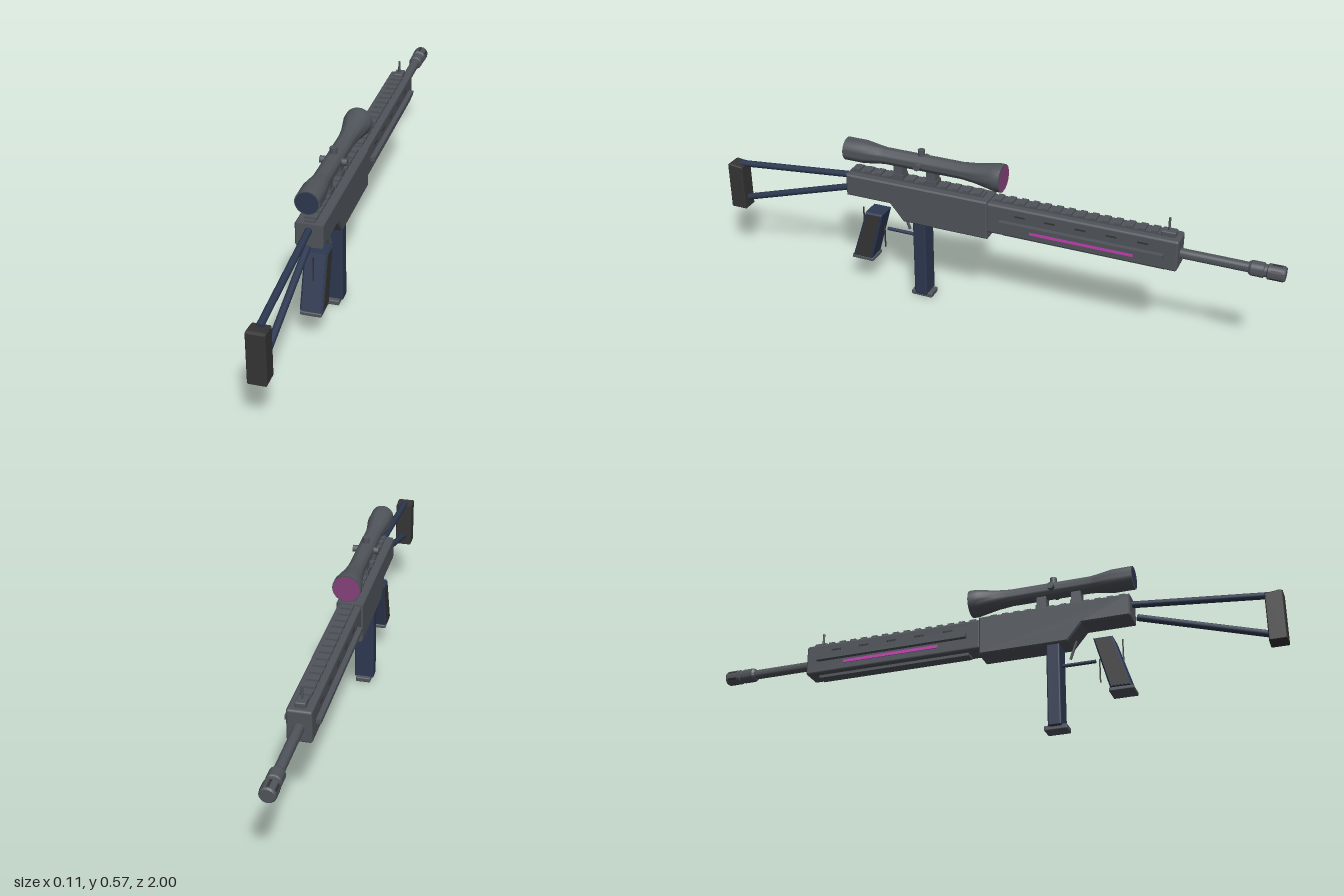
import * as THREE from 'three';
import { RoundedBoxGeometry } from 'three/addons/geometries/RoundedBoxGeometry.js';
import { toCreasedNormals } from 'three/addons/utils/BufferGeometryUtils.js';

const mat = (name, color) => new THREE.MeshStandardMaterial({ name, color });

export function createModel() {
  const gray = mat('gunmetal', 0x50555b);
  const navy = mat('navy', 0x2d3850);
  const dark = mat('dark rubber', 0x353535);
  const pink = mat('magenta stripe', 0xc23fb0);
  const purple = mat('purple glass', 0x84427a);
  const model = new THREE.Group();

  const add = (name, geometry, material, x = 0, y = 0, z = 0) => {
    const mesh = new THREE.Mesh(geometry, material);
    mesh.name = name;
    mesh.position.set(x, y, z);
    model.add(mesh);
    return mesh;
  };
  // Box given by its y and z limits, centred on x unless shifted
  const box = (name, material, w, y0, y1, z0, z1, x = 0) =>
    add(name, new THREE.BoxGeometry(w, y1 - y0, z1 - z0), material, x, (y0 + y1) / 2, (z0 + z1) / 2);
  const rbox = (name, material, w, y0, y1, z0, z1, r) =>
    add(name, new RoundedBoxGeometry(w, y1 - y0, z1 - z0, 2, r), material, 0, (y0 + y1) / 2, (z0 + z1) / 2);
  // Side profile of [z, y] points, extruded across x
  const slab = (name, material, points, w, bevel = 0, x = 0) => {
    const shape = new THREE.Shape(points.map(([z, y]) => new THREE.Vector2(z, y)));
    const g = new THREE.ExtrudeGeometry(shape, {
      depth: w - 2 * bevel, bevelEnabled: bevel > 0, bevelSize: bevel,
      bevelOffset: -bevel, bevelThickness: bevel, bevelSegments: 1,
    });
    g.translate(0, 0, -(w - 2 * bevel) / 2).rotateY(-Math.PI / 2);
    return add(name, g, material, x);
  };
  // Round part along z, from [radius, z] points with z falling
  const turned = (name, material, y, points, sides = 24) => {
    const g = new THREE.LatheGeometry(points.map(([r, z]) => new THREE.Vector2(r, -z)), sides);
    return add(name, toCreasedNormals(g.rotateX(-Math.PI / 2), 0.5), material, 0, y);
  };
  // Straight rod between two [z, y] points
  const rod = (name, material, a, b, r) => {
    const curve = new THREE.LineCurve3(new THREE.Vector3(0, a[1], a[0]), new THREE.Vector3(0, b[1], b[0]));
    const g = new THREE.CylinderGeometry(r, r, curve.getLength(), 12);
    const m = add(name, g, material);
    m.position.copy(curve.getPoint(0.5));
    m.quaternion.setFromUnitVectors(new THREE.Vector3(0, 1, 0), curve.getTangent(0));
    return m;
  };

  // Receiver
  slab('receiver', gray, [[0.51, 0.36], [0.51, 0.44], [-0.015, 0.44], [-0.015, 0.3], [0.295, 0.3], [0.345, 0.36]], 0.09, 0.005);

  // Handguard with side rails, bottom rail, vents and stripe
  rbox('handguard', gray, 0.08, 0.325, 0.435, -0.665, -0.01, 0.008);
  box('bottomRail', gray, 0.04, 0.315, 0.328, -0.62, -0.06);
  for (const s of [-1, 1]) {
    box('sideRail', gray, 0.018, 0.369, 0.384, -0.62, -0.06, s * 0.047);
    box('stripe', pink, 0.004, 0.35, 0.361, -0.52, -0.165, s * 0.041);
    for (let i = 0; i < 5; i++) {
      const z = -0.13 - i * 0.105;
      box('vent', dark, 0.003, 0.404, 0.41, z - 0.018, z + 0.018, s * 0.0395);
    }
  }

  // Toothed top rails
  for (const [name, y, z0, z1] of [['receiverRail', 0.44, 0.01, 0.5], ['handguardRail', 0.434, -0.6, -0.025]]) {
    box(name, gray, 0.034, y - 0.004, y + 0.007, z0, z1);
    const n = Math.round((z1 - z0) / 0.04);
    for (let i = 0; i < n; i++) {
      const z = z0 + ((i + 0.5) * (z1 - z0)) / n;
      box('railTooth', gray, 0.04, y + 0.004, y + 0.014, z - 0.011, z + 0.011);
    }
  }

  // Front sight
  rbox('sightBase', gray, 0.034, 0.432, 0.452, -0.648, -0.6, 0.004);
  rod('sightPost', gray, [-0.622, 0.445], [-0.622, 0.495], 0.004);

  // Barrel and muzzle brake
  turned('barrel', gray, 0.376, [[0, -0.65], [0.017, -0.65], [0.017, -0.9], [0, -0.9]], 16);
  turned('muzzleBrake', gray, 0.376, [[0, -0.885], [0.02, -0.885], [0.025, -0.893], [0.025, -0.932],
    [0.021, -0.935], [0.021, -0.943], [0.026, -0.946], [0.026, -0.994], [0.022, -1], [0, -1]], 16);
  for (let i = 0; i < 6; i++) {
    const a = (i * Math.PI) / 3;
    const slot = box('brakeSlot', dark, 0.008, 0, 0.004, -0.988, -0.955);
    slot.position.set(Math.sin(a) * 0.0245, 0.376 + Math.cos(a) * 0.0245, -0.972);
    slot.rotation.z = -a;
  }

  // Scope
  const sy = 0.518;
  turned('scopeBody', gray, sy, [[0, 0.518], [0.036, 0.518], [0.036, 0.52], [0.04, 0.52], [0.04, 0.45], [0.031, 0.39],
    [0.029, 0.37], [0.029, 0.09], [0.034, 0.04], [0.045, -0.02], [0.048, -0.035], [0.048, -0.056], [0.044, -0.056], [0, -0.054]], 28);
  const lens = (name, material, r, z, ry) =>
    (add(name, new THREE.CircleGeometry(r, 28), material, 0, sy, z).rotation.y = ry);
  lens('eyepieceLens', navy, 0.037, 0.5215, 0);
  lens('objectiveLens', purple, 0.045, -0.0575, Math.PI);
  const knob = new THREE.CylinderGeometry(0.012, 0.012, 0.022, 14);
  add('topKnob', knob, gray, 0, 0.555, 0.24);
  for (const s of [-1, 1]) add('sideKnob', knob, gray, s * 0.034, sy, 0.24).rotation.z = Math.PI / 2;
  for (const z of [0.322, 0.2]) {
    box('scopeMount', gray, 0.034, 0.46, 0.498, z - 0.017, z + 0.017);
    box('mountClamp', gray, 0.04, 0.448, 0.464, z - 0.02, z + 0.02);
  }

  // Skeleton stock
  rod('upperStrut', navy, [0.49, 0.42], [0.96, 0.373], 0.0115);
  rod('lowerStrut', navy, [0.525, 0.368], [0.95, 0.237], 0.0115);
  slab('buttPad', dark, [[1, 0.203], [1, 0.372], [0.99, 0.376], [0.942, 0.37], [0.942, 0.203]], 0.06, 0.003);

  // Grip with side panels and foot
  slab('grip', navy, [[0.445, 0.3], [0.38, 0.3], [0.43, 0.115], [0.503, 0.115]], 0.074, 0.005);
  for (const s of [-1, 1]) {
    slab('gripPanel', dark, [[0.438, 0.294], [0.388, 0.294], [0.437, 0.121], [0.494, 0.121]], 0.003, 0, s * 0.037);
  }
  rbox('gripFoot', gray, 0.07, 0.104, 0.117, 0.425, 0.507, 0.003);
  box('frontGripRib', dark, 0.004, 0.155, 0.238, 0.389, 0.393);
  box('rearGripRib', dark, 0.004, 0.215, 0.298, 0.469, 0.473);

  // Magazine
  rbox('magazine', navy, 0.07, 0.012, 0.305, 0.218, 0.265, 0.006);
  rbox('magazineFoot', gray, 0.052, 0, 0.018, 0.203, 0.281, 0.004);

  // Trigger and its guard
  rod('triggerGuard', navy, [0.26, 0.232], [0.378, 0.232], 0.006);
  const bend = new THREE.QuadraticBezierCurve3(new THREE.Vector3(0, 0.315, 0.316),
    new THREE.Vector3(0, 0.28, 0.302), new THREE.Vector3(0, 0.25, 0.292));
  add('trigger', new THREE.TubeGeometry(bend, 8, 0.005, 8), gray);

  return model;
}
